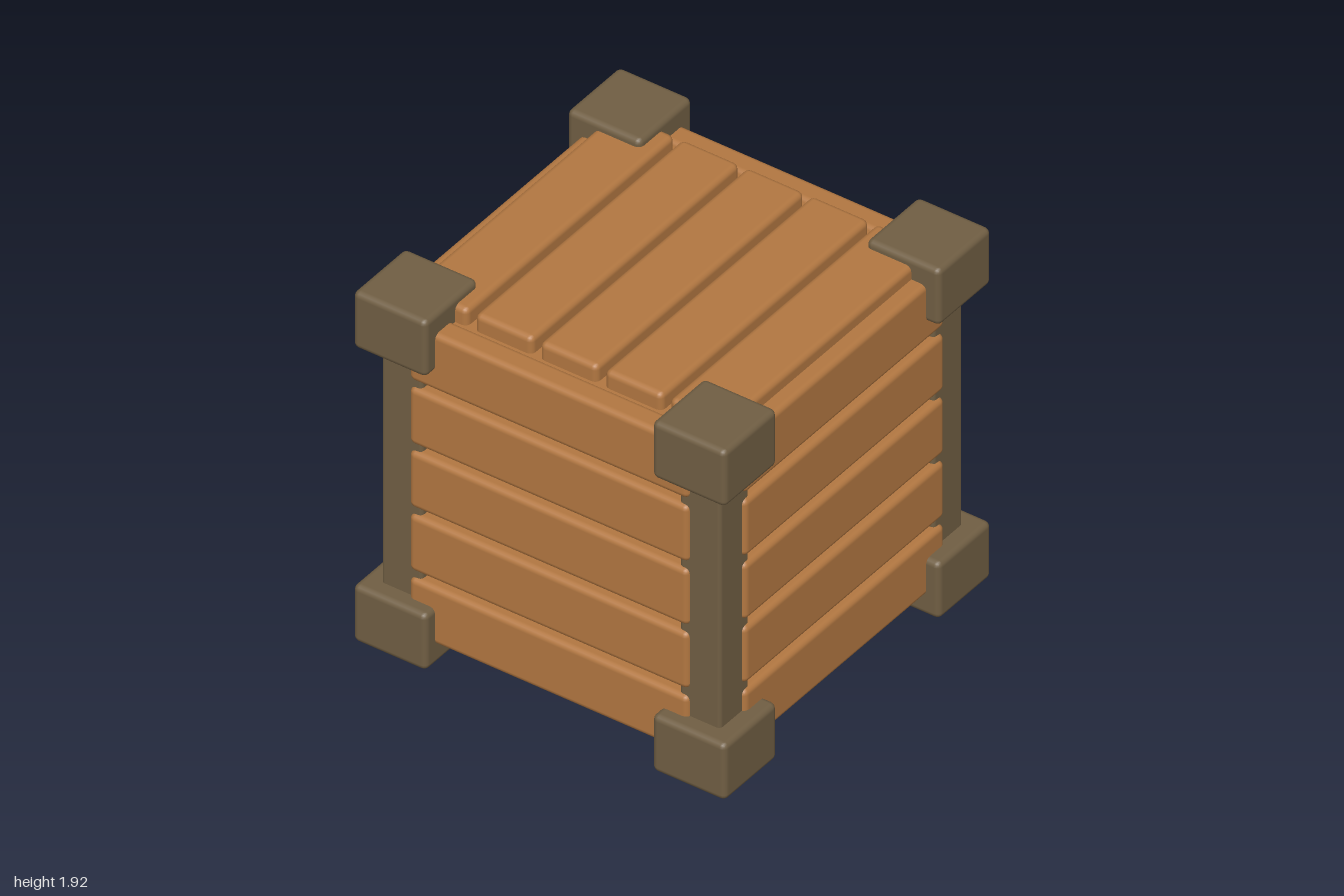
import * as THREE from 'three';
import { RoundedBoxGeometry } from 'three/addons/geometries/RoundedBoxGeometry.js';

export function createModel() {
  const crate = new THREE.Group();
  crate.name = 'crate';
  const wood = new THREE.MeshStandardMaterial({ color: 0xb27741 });
  wood.name = 'plank wood';
  const frame = new THREE.MeshStandardMaterial({ color: 0x705e43 });
  frame.name = 'frame olive brown';

  const HEIGHT = 1.92;
  const MID = HEIGHT / 2;

  // Bevelled block of the given size, centred at (x, y, z)
  function block(name, material, w, h, d, x, y, z, parent = crate, bevel = 0.03) {
    const mesh = new THREE.Mesh(new RoundedBoxGeometry(w, h, d, 2, bevel), material);
    mesh.name = name;
    mesh.position.set(x, y, z);
    parent.add(mesh);
    return mesh;
  }

  // Inner box seen through the gaps between planks
  const core = new THREE.Mesh(new THREE.BoxGeometry(1.68, 1.66, 1.68), wood);
  core.name = 'innerBox';
  core.position.y = MID;
  crate.add(core);

  // Four walls of five horizontal planks
  for (let side = 0; side < 4; side++) {
    const wall = new THREE.Group();
    wall.name = ['frontWall', 'leftWall', 'backWall', 'rightWall'][side];
    wall.rotation.y = side * Math.PI / 2;
    for (let i = 0; i < 5; i++) {
      block('wallPlank', wood, 1.5, 0.31, 0.13, 0, MID + (i - 2) * 0.348, 0.865, wall);
    }
    crate.add(wall);
  }

  // Lid and base, each of five planks running front to back
  for (const [name, y] of [['lid', HEIGHT - 0.105], ['base', 0.105]]) {
    const panel = new THREE.Group();
    panel.name = name;
    for (let i = 0; i < 5; i++) {
      block(name + 'Plank', wood, 0.31, 0.13, 1.56, (i - 2) * 0.348, y, 0, panel);
    }
    crate.add(panel);
  }

  // Corner posts with a bevelled cap at each end
  for (const sx of [-1, 1]) {
    for (const sz of [-1, 1]) {
      block('cornerPost', frame, 0.22, 1.7, 0.22, sx * 0.8, MID, sz * 0.8, crate, 0.02);
      for (const y of [0.155, HEIGHT - 0.155]) {
        block('cornerCap', frame, 0.395, 0.31, 0.395, sx * 0.8025, y, sz * 0.8025);
      }
    }
  }

  return crate;
}
